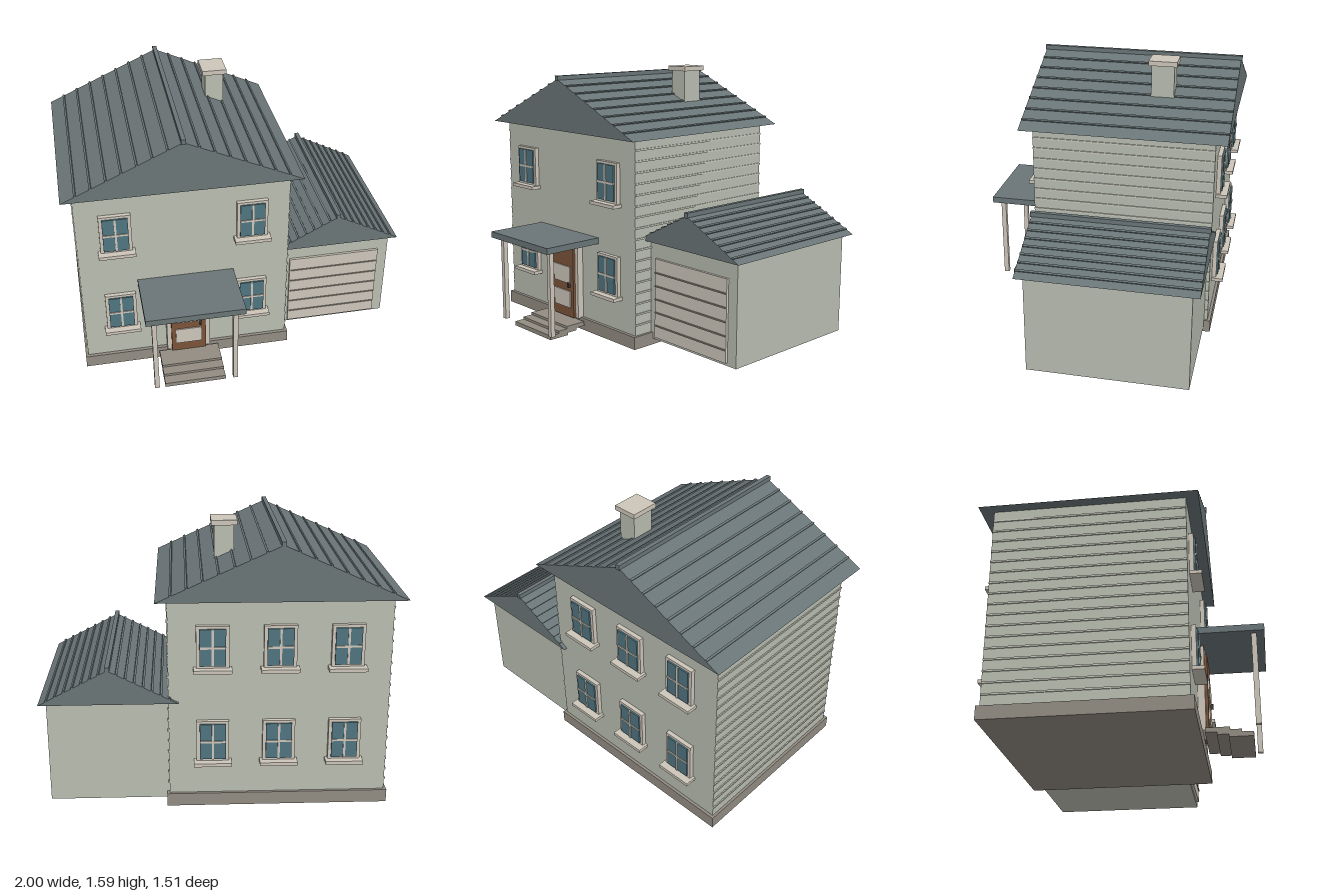
import * as THREE from 'three';

const mat = (color) => new THREE.MeshStandardMaterial({ color });
const M = {
  wall: mat(0xb9bdb0), siding: mat(0xc6c7ba), roof: mat(0x6a7577), trim: mat(0xcdc6ba),
  stone: mat(0x928c82), door: mat(0x7a5238), glass: mat(0x4f7480), dark: mat(0x3a3a3a),
};

// Box given by its extents on each axis
function box(parent, name, m, [x0, x1], [y0, y1], [z0, z1]) {
  const mesh = new THREE.Mesh(new THREE.BoxGeometry(x1 - x0, y1 - y0, z1 - z0), m);
  mesh.position.set((x0 + x1) / 2, (y0 + y1) / 2, (z0 + z1) / 2);
  mesh.name = name;
  parent.add(mesh);
  return mesh;
}

// Gable roof: solid prism, raised battens on both slopes, ridge cap
function gableRoof(name, cx, half, y0, y1, z0, z1) {
  const g = new THREE.Group();
  g.name = name;
  const h = y1 - y0;
  const s = new THREE.Shape();
  s.moveTo(-half, 0);
  s.lineTo(half, 0);
  s.lineTo(0, h);
  s.closePath();
  const prism = new THREE.Mesh(new THREE.ExtrudeGeometry(s, { depth: z1 - z0, bevelEnabled: false }), M.roof);
  prism.position.set(cx, y0, z0);
  prism.name = 'roofBody';
  g.add(prism);
  for (const side of [-1, 1]) {
    for (let i = 1; i < 8; i++) {
      const t = i / 8;
      const b = box(g, 'roofBatten', M.roof, [-0.006, 0.006], [-0.006, 0.006], [z0, z1]);
      b.position.x = cx + side * half * t;
      b.position.y = y1 - h * t + 0.001;
      b.rotation.z = -side * Math.atan2(h, half);
    }
  }
  box(g, 'ridgeCap', M.roof, [cx - 0.0125, cx + 0.0125], [y1 - 0.01, y1 + 0.02], [z0 - 0.006, z1 + 0.006]);
  return g;
}

// Window built facing +z, centred on x, with its frame base on z = 0
function makeWindow() {
  const g = new THREE.Group();
  g.name = 'window';
  box(g, 'windowFrame', M.trim, [-0.09, 0.09], [-0.12, 0.12], [-0.005, 0.025]);
  box(g, 'windowGlass', M.glass, [-0.072, 0.072], [-0.105, 0.105], [0.02, 0.034]);
  box(g, 'windowMullion', M.trim, [-0.006, 0.006], [-0.105, 0.105], [0.03, 0.039]);
  box(g, 'windowCrossbar', M.trim, [-0.072, 0.072], [-0.006, 0.006], [0.03, 0.039]);
  box(g, 'windowSill', M.trim, [-0.105, 0.105], [-0.138, -0.118], [-0.005, 0.066]);
  return g;
}

export function createModel() {
  const model = new THREE.Group();
  model.name = 'house';
  const cx = -0.325, front = 0.38, back = -0.678;

  // Main block
  box(model, 'foundation', M.stone, [cx - 0.625, cx + 0.625], [0, 0.075], [-0.695, 0.4]);
  box(model, 'houseWalls', M.wall, [cx - 0.61, cx + 0.61], [0.07, 1.22], [back, front]);
  model.add(gableRoof('mainRoof', cx, 0.674, 1.22, 1.525, -0.75, 0.45));

  // Horizontal siding on both side walls
  for (const side of [-1, 1]) {
    for (let i = 1; i < 18; i++) {
      const x = cx + side * 0.61, y = 0.075 + i * 0.0638;
      box(model, 'sidingStrip', M.siding, [x - 0.006, x + 0.006], [y - 0.005, y + 0.005], [back, front]);
    }
  }

  // Chimney
  box(model, 'chimney', M.wall, [-0.086, 0.022], [1.3, 1.56], [-0.398, -0.265]);
  box(model, 'chimneyCap', M.trim, [-0.104, 0.04], [1.557, 1.585], [-0.415, -0.249]);

  // Windows, two floors on front and back
  for (const y of [0.402, 0.955]) {
    for (const dx of [-0.39, 0.39]) {
      const w = makeWindow();
      w.position.set(cx + dx, y, front);
      model.add(w);
    }
    for (const dx of [-0.367, 0, 0.367]) {
      const w = makeWindow();
      w.position.set(cx + dx, y, back);
      w.rotation.y = Math.PI;
      model.add(w);
    }
  }

  // Front door
  const door = new THREE.Group();
  door.name = 'frontDoor';
  box(door, 'doorFrame', M.trim, [cx - 0.13, cx + 0.13], [0.07, 0.56], [0.37, 0.42]);
  box(door, 'doorLeaf', M.door, [cx - 0.104, cx + 0.104], [0.07, 0.52], [0.4, 0.435]);
  for (const y of [0.13, 0.285]) {
    box(door, 'doorPanel', M.trim, [cx - 0.078, cx + 0.078], [y, y + 0.105], [0.43, 0.442]);
  }
  box(door, 'doorHandle', M.dark, [-0.26, -0.248], [0.262, 0.292], [0.43, 0.453]);
  model.add(door);

  // Porch canopy, posts and steps
  box(model, 'porchCanopy', M.roof, [cx - 0.283, cx + 0.283], [0.565, 0.602], [0.36, 0.757]);
  for (const side of [-1, 1]) {
    const x = cx + side * 0.233;
    box(model, 'porchPost', M.trim, [x - 0.0135, x + 0.0135], [0.05, 0.57], [0.685, 0.714]);
  }
  for (let i = 0; i < 3; i++) {
    const y = 0.008 + i * 0.015, z = 0.672 - i * 0.062;
    box(model, 'porchStep', M.stone, [cx - 0.181, cx + 0.181], [y, y + 0.026], [z - 0.132, z]);
  }

  // Garage
  const gx = 0.613;
  box(model, 'garageWalls', M.wall, [gx - 0.343, gx + 0.343], [0.037, 0.635], [-0.657, 0.258]);
  model.add(gableRoof('garageRoof', gx, 0.384, 0.63, 0.828, -0.7, 0.3));
  box(model, 'garageDoor', M.trim, [gx - 0.28, gx + 0.28], [0.055, 0.53], [0.25, 0.273]);
  for (let i = 1; i < 6; i++) {
    const y = 0.05 + i * 0.0795;
    box(model, 'garageDoorSeam', M.stone, [gx - 0.275, gx + 0.275], [y - 0.004, y + 0.004], [0.265, 0.279]);
  }
  return model;
}
